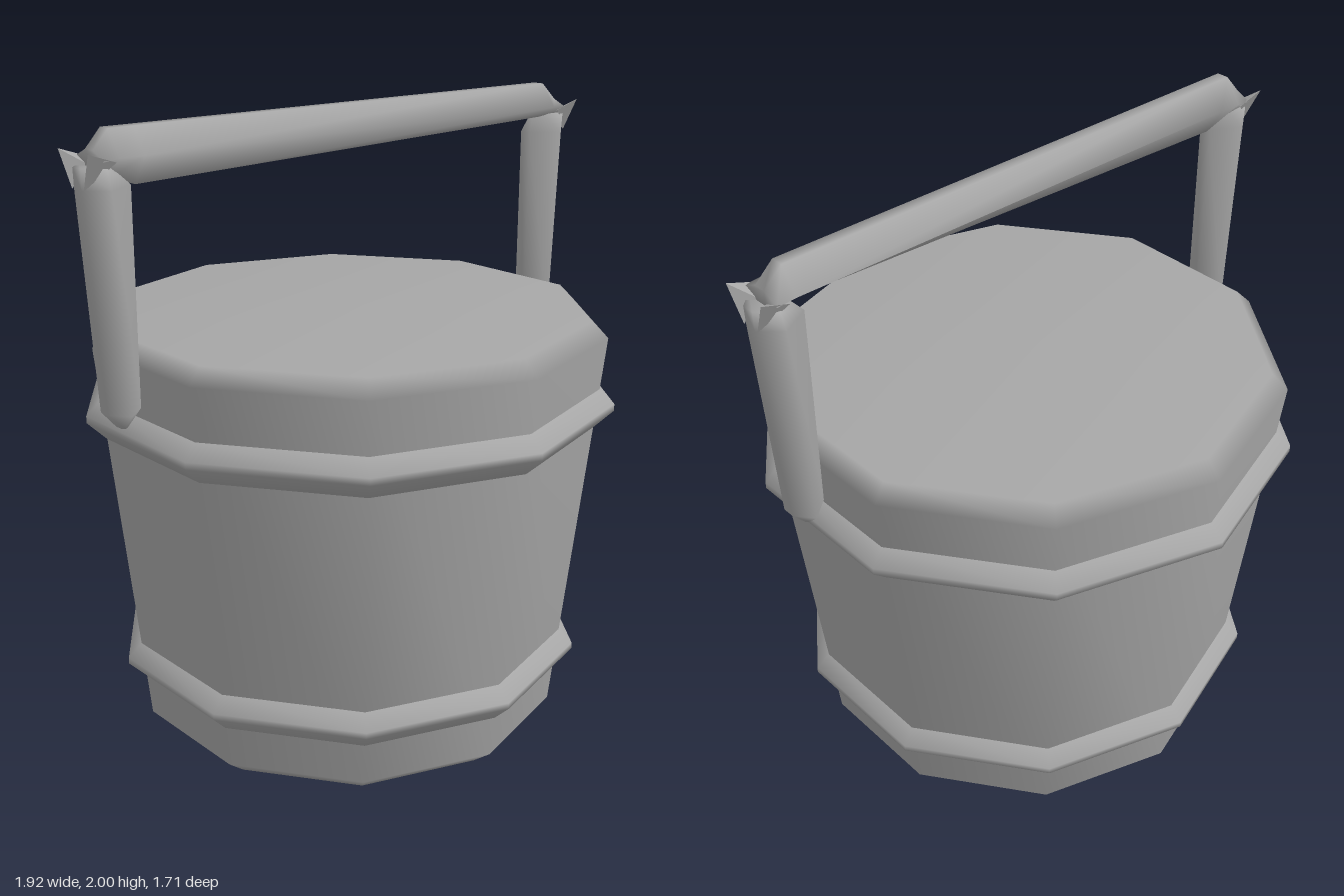
import * as THREE from 'three';
import { mergeVertices } from 'three/addons/utils/BufferGeometryUtils.js';

const wood = new THREE.MeshStandardMaterial({ color: 0xa6a6a6 });
wood.name = 'grey wood';
const finGrey = new THREE.MeshStandardMaterial({ color: 0xa6a6a6, side: THREE.DoubleSide });
finGrey.name = 'grey splinter';

function named(name, geometry, material = wood) {
  const mesh = new THREE.Mesh(geometry, material);
  mesh.name = name;
  return mesh;
}

// Ten-sided turned shape with area-weighted smooth normals
function turned(profile) {
  let g = new THREE.LatheGeometry(profile.map(([r, y]) => new THREE.Vector2(r, y)), 10);
  g.deleteAttribute('normal');
  g.deleteAttribute('uv');
  g = mergeVertices(g, 1e-4);
  g.computeVertexNormals();
  return g;
}

// Smooth skin over equal cross-sections, with both ends closed
function loft(rings) {
  const n = rings[0].length, index = [], last = (rings.length - 1) * n;
  for (let r = 0; r < rings.length - 1; r++) {
    for (let i = 0; i < n; i++) {
      const a = r * n + i, b = r * n + (i + 1) % n;
      index.push(a, b, a + n, b, b + n, a + n);
    }
  }
  for (let i = 1; i < n - 1; i++) {
    index.push(0, i + 1, i, last, last + i, last + i + 1);
  }
  const g = new THREE.BufferGeometry();
  g.setAttribute('position', new THREE.Float32BufferAttribute(rings.flat(2), 3));
  g.setIndex(index);
  g.computeVertexNormals();
  return g;
}

// Six-sided sections: upright for the legs, lying along x for the bar
const legRing = (y, inner, mid, outer, w, a) => [
  [mid, y, w], [outer, y, a], [outer, y, -a], [mid, y, -w], [inner, y, -a], [inner, y, a]];
const barRing = (x, top, mid, bottom, w, a) => [
  [x, top, -a], [x, top, a], [x, mid, w], [x, bottom, a], [x, bottom, -a], [x, mid, -w]];

export function createModel() {
  const bucket = new THREE.Group();
  bucket.name = 'bucket';

  // Closed tapering tub with bevelled rims
  bucket.add(named('tub', turned([
    [0, 0], [0.62, 0], [0.69, 0.055], [0.825, 1.31], [0.775, 1.36], [0, 1.36]])));

  // Hoops around the tub
  bucket.add(named('lowerHoop', turned([
    [0.69, 0.19], [0.705, 0.19], [0.762, 0.245], [0.762, 0.265], [0.715, 0.312], [0.69, 0.312]])));
  bucket.add(named('upperHoop', turned([
    [0.77, 1.02], [0.795, 1.02], [0.855, 1.078], [0.855, 1.1], [0.81, 1.145], [0.78, 1.145]])));

  // Handle
  const handle = new THREE.Group();
  handle.name = 'handle';
  handle.add(named('handleBar', loft([
    barRing(-0.91, 1.945, 1.92, 1.89, 0.075, 0.02),
    barRing(-0.86, 2.0, 1.925, 1.865, 0.075, 0.02),
    barRing(-0.78, 2.0, 1.925, 1.84, 0.075, 0.02),
    barRing(0.85, 2.0, 1.925, 1.89, 0.075, 0.02),
    barRing(0.91, 1.945, 1.92, 1.89, 0.075, 0.02)])));

  // Each side: tapering leg and the pointed fins at its corner
  for (const side of ['left', 'right']) {
    const arm = new THREE.Group();
    arm.name = side + 'Arm';
    arm.add(named(side + 'Leg', loft([
      legRing(1.143, 0.84, 0.85, 0.86, 0.02, 0.015),
      legRing(1.195, 0.795, 0.86, 0.905, 0.075, 0.02),
      legRing(1.84, 0.795, 0.89, 0.95, 0.075, 0.02),
      legRing(1.9, 0.85, 0.9, 0.952, 0.07, 0.02)])));
    for (const s of [1, -1]) {
      const fin = new THREE.BufferGeometry().setFromPoints([
        new THREE.Vector3(0.96, 1.945, s * 0.078),
        new THREE.Vector3(0.87, 1.915, s * 0.074),
        new THREE.Vector3(0.95, 1.84, s * 0.03),
        new THREE.Vector3(0.9, 1.9, s * 0.015)]);
      fin.setIndex(s > 0 ? [0, 1, 2, 0, 3, 1, 0, 2, 3] : [0, 2, 1, 0, 1, 3, 0, 3, 2]);
      const flat = fin.toNonIndexed();
      flat.computeVertexNormals();
      arm.add(named('cornerFin', flat, finGrey));
    }
    if (side === 'right') arm.rotation.y = Math.PI;
    handle.add(arm);
  }
  bucket.add(handle);
  return bucket;
}
